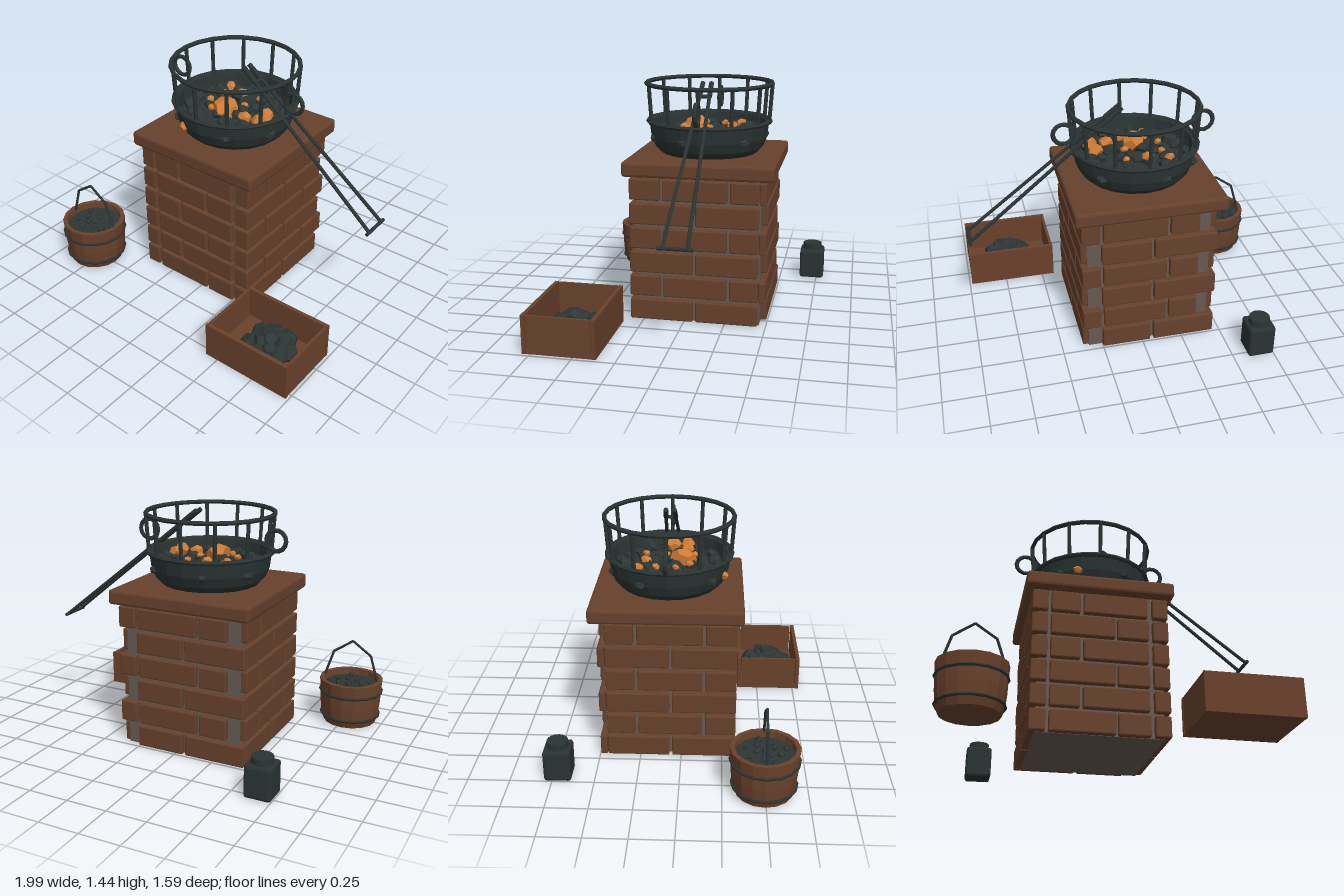
import * as THREE from 'three';
import { RoundedBoxGeometry } from 'three/addons/geometries/RoundedBoxGeometry.js';

const mat = (name, color, extra = {}) => {
  const m = new THREE.MeshStandardMaterial({ color, flatShading: true, ...extra });
  m.name = name;
  return m;
};

export function createModel() {
  const brick = mat('brick brown', 0x67412c);
  const wood = mat('wood brown', 0x69412b, { side: THREE.DoubleSide });
  const mortar = mat('mortar grey', 0x655a52);
  const iron = mat('dark iron', 0x2a3433, { side: THREE.DoubleSide });
  const coal = mat('coal', 0x2d3736);
  const ember = mat('ember orange', 0xd17c33);

  const root = new THREE.Group();
  let seed = 7;
  const rnd = () => (seed = (seed * 16807) % 2147483647) / 2147483647;

  const group = (name, x = 0, y = 0, z = 0, parent = root) => {
    const g = new THREE.Group();
    g.name = name;
    g.position.set(x, y, z);
    parent.add(g);
    return g;
  };
  const add = (parent, name, geo, m, x = 0, y = 0, z = 0) => {
    const o = new THREE.Mesh(geo, m);
    o.name = name;
    o.position.set(x, y, z);
    parent.add(o);
    return o;
  };
  // Bevelled box given by its limits
  const block = (parent, name, m, x0, x1, y0, y1, z0, z1, r = 0.008) =>
    add(parent, name, new RoundedBoxGeometry(x1 - x0, y1 - y0, z1 - z0, 1, r), m,
      (x0 + x1) / 2, (y0 + y1) / 2, (z0 + z1) / 2);
  // Straight rod between two points
  const rod = (parent, name, a, b, r, m = iron, sides = 8) => {
    const p = new THREE.Vector3(...a), q = new THREE.Vector3(...b);
    const o = add(parent, name, new THREE.CylinderGeometry(r, r, p.distanceTo(q), sides), m);
    o.position.copy(p).add(q).multiplyScalar(0.5);
    o.quaternion.setFromUnitVectors(new THREE.Vector3(0, 1, 0), q.sub(p).normalize());
    return o;
  };
  const ring = (parent, name, r, tube, y, sides = 24) => {
    const o = add(parent, name, new THREE.TorusGeometry(r, tube, 6, sides), iron, 0, y, 0);
    o.rotation.x = Math.PI / 2;
    return o;
  };
  // Irregular faceted lump
  const lump = (parent, name, m, x, y, z, r, squash = 0.75) => {
    const o = add(parent, name, new THREE.DodecahedronGeometry(r, 0), m, x, y, z);
    o.scale.set(0.85 + rnd() * 0.35, squash, 0.85 + rnd() * 0.35);
    o.rotation.set(rnd() * 0.6, rnd() * 6.28, rnd() * 0.6);
    return o;
  };

  // Brick pedestal
  const ped = group('pedestal');
  add(ped, 'mortarCore', new THREE.BoxGeometry(0.75, 0.9, 0.75), mortar, -0.04, 0.46, -0.083);
  block(ped, 'topSlab', brick, -0.495, 0.41, 0.91, 1.0, -0.54, 0.365, 0.016);
  for (let i = 0; i < 6; i++) {
    const y0 = 0.012 + i * 0.1505, y1 = y0 + 0.13, even = i % 2 === 1;
    const front = even ? [[-0.34, -0.165], [-0.145, 0.245]] : [[-0.34, 0.045], [0.06, 0.25]];
    const back = even ? [[-0.34, -0.165], [-0.145, 0.24], [0.26, 0.37]] : [[-0.455, -0.07], [-0.05, 0.25]];
    const side = even ? [[0.145, 0.33], [-0.26, 0.127], [-0.45, -0.28]] : [[-0.055, 0.33], [-0.45, -0.073]];
    for (const [a, b] of front) block(ped, 'frontBrick', brick, a, b, y0, y1, 0.23, 0.33);
    for (const [a, b] of back) block(ped, 'backBrick', brick, a, b, y0, y1, -0.495, -0.454);
    for (const [a, b] of side) {
      block(ped, 'leftBrick', brick, 0.275, 0.37, y0, y1, a, b);
      block(ped, 'rightBrick', brick, -0.455, -0.36, y0, y1, a, b);
    }
  }

  // Fire bowl with cage
  const bowl = group('brazier', -0.04, 0, -0.085);
  const profile = [[0, 1.003], [0.3, 1.003], [0.335, 1.04], [0.36, 1.1], [0.372, 1.195],
    [0.35, 1.195], [0.335, 1.1]].map(([x, y]) => new THREE.Vector2(x, y));
  add(bowl, 'bowl', new THREE.LatheGeometry(profile, 20), iron);
  add(bowl, 'ashBed', new THREE.CylinderGeometry(0.338, 0.338, 0.02, 20), coal, 0, 1.1, 0);
  ring(bowl, 'lowerRim', 0.378, 0.014, 1.195);
  ring(bowl, 'upperRim', 0.388, 0.014, 1.425);
  for (let i = 0; i < 12; i++) {
    const a = i * Math.PI / 6, c = Math.cos(a), s = Math.sin(a);
    rod(bowl, 'cageBar', [c * 0.372, 1.19, s * 0.372], [c * 0.388, 1.425, s * 0.388], 0.012);
  }
  for (const s of [-1, 1])
    add(bowl, 'ringHandle', new THREE.TorusGeometry(0.062, 0.014, 6, 14), iron, s * 0.425, 1.288, 0);

  // Coals around the wall and in the middle, with embers between
  for (let i = 0; i < 20; i++) {
    const a = i * Math.PI / 10 + rnd() * 0.2, r = 0.25 + rnd() * 0.06;
    lump(bowl, 'coal', coal, Math.cos(a) * r, 1.13, Math.sin(a) * r, 0.035 + rnd() * 0.015);
  }
  for (let i = 0; i < 14; i++) {
    const a = i * 2.4, r = 0.06 + i * 0.012;
    lump(bowl, 'coal', coal, Math.cos(a) * r, 1.13, Math.sin(a) * r, 0.035 + rnd() * 0.015);
  }
  for (const a of [0.3, 1.1, 2.3, 3.6, 4.4, 5.5])
    lump(bowl, 'edgeCoal', coal, Math.cos(a) * 0.345, 1.1, Math.sin(a) * 0.345, 0.035);
  const embers = [[-0.05, 0.0, 0.07], [-0.21, -0.26, 0.03], [-0.09, -0.22, 0.035], [0.04, -0.23, 0.022],
    [-0.2, -0.04, 0.022], [0.11, 0.02, 0.04], [0.21, 0.02, 0.05], [0.2, -0.07, 0.05],
    [-0.13, 0.04, 0.022], [0.015, 0.065, 0.03], [-0.19, -0.16, 0.022], [0.02, -0.1, 0.025]];
  for (const [x, z, r] of embers) lump(bowl, 'ember', ember, x + 0.04, 1.155, z + 0.085, r, 0.85);
  lump(bowl, 'edgeEmber', ember, -0.13, 1.1, 0.325, 0.034);

  // Tongs leaning over the rim
  const tongs = group('tongs', 0, 0, -0.085);
  for (const s of [-1, 1]) {
    rod(tongs, 'tongArm', [0.05, 1.425, s * 0.026], [0.985, 0.675, s * 0.068], 0.011);
    rod(tongs, 'tongJaw', [0.04, 1.432, s * 0.026], [0.13, 1.36, s * 0.03], 0.015);
  }
  rod(tongs, 'tongPivot', [0.13, 1.36, -0.035], [0.13, 1.36, 0.035], 0.012);
  rod(tongs, 'tongCrossbar', [0.983, 0.675, -0.097], [0.983, 0.675, 0.097], 0.011);

  // Bucket of small coal
  const bucket = group('bucket', -0.785, 0, 0.493);
  const stave = [[0, 0.01], [0.17, 0.01], [0.186, 0.06], [0.195, 0.14], [0.198, 0.22], [0.204, 0.3],
    [0.176, 0.3], [0.17, 0.24]].map(([x, y]) => new THREE.Vector2(x, y));
  add(bucket, 'bucketBody', new THREE.LatheGeometry(stave, 16), wood);
  ring(bucket, 'upperBand', 0.2, 0.009, 0.22, 16);
  ring(bucket, 'lowerBand', 0.189, 0.009, 0.06, 16);
  add(bucket, 'coalFill', new THREE.CylinderGeometry(0.174, 0.17, 0.02, 16), coal, 0, 0.25, 0);
  for (let i = 0; i < 14; i++) {
    const a = i * 2.4, r = 0.038 * Math.sqrt(i);
    lump(bucket, 'smallCoal', coal, Math.cos(a) * r, 0.268, Math.sin(a) * r, 0.02, 1);
  }
  const bail = [[-0.175, 0.29], [-0.122, 0.465], [0, 0.55], [0.125, 0.465], [0.183, 0.29]];
  for (let i = 0; i < 4; i++)
    rod(bucket, 'bail', [...bail[i], 0], [...bail[i + 1], 0], 0.008);

  // Open crate with a coal heap
  const crate = group('crate');
  const wall = (name, w, h, d, x, y, z) => add(crate, name, new THREE.BoxGeometry(w, h, d), wood, x, y, z);
  wall('crateFloor', 0.56, 0.025, 0.42, 0.703, 0.023, 0.577);
  for (const s of [-1, 1]) {
    wall('crateLongWall', 0.565, 0.23, 0.024, 0.703, 0.125, 0.577 + s * 0.203);
    wall('crateEndWall', 0.018, 0.228, 0.372, 0.703 + s * 0.272, 0.125, 0.577);
  }
  for (let i = 0; i < 16; i++) {
    const a = i * 2.4, r = 0.034 * Math.sqrt(i);
    lump(crate, 'crateCoal', coal, 0.72 + Math.cos(a) * r, 0.15 - r * 0.6, 0.575 + Math.sin(a) * r, 0.068);
  }

  // Small canister behind the pedestal
  const can = group('canister', -0.67, 0, -0.717);
  block(can, 'canisterBody', iron, -0.081, 0.081, 0.007, 0.205, -0.081, 0.081, 0.016);
  add(can, 'canisterCap', new THREE.CylinderGeometry(0.063, 0.065, 0.05, 16), iron, 0, 0.219, 0);

  return root;
}
